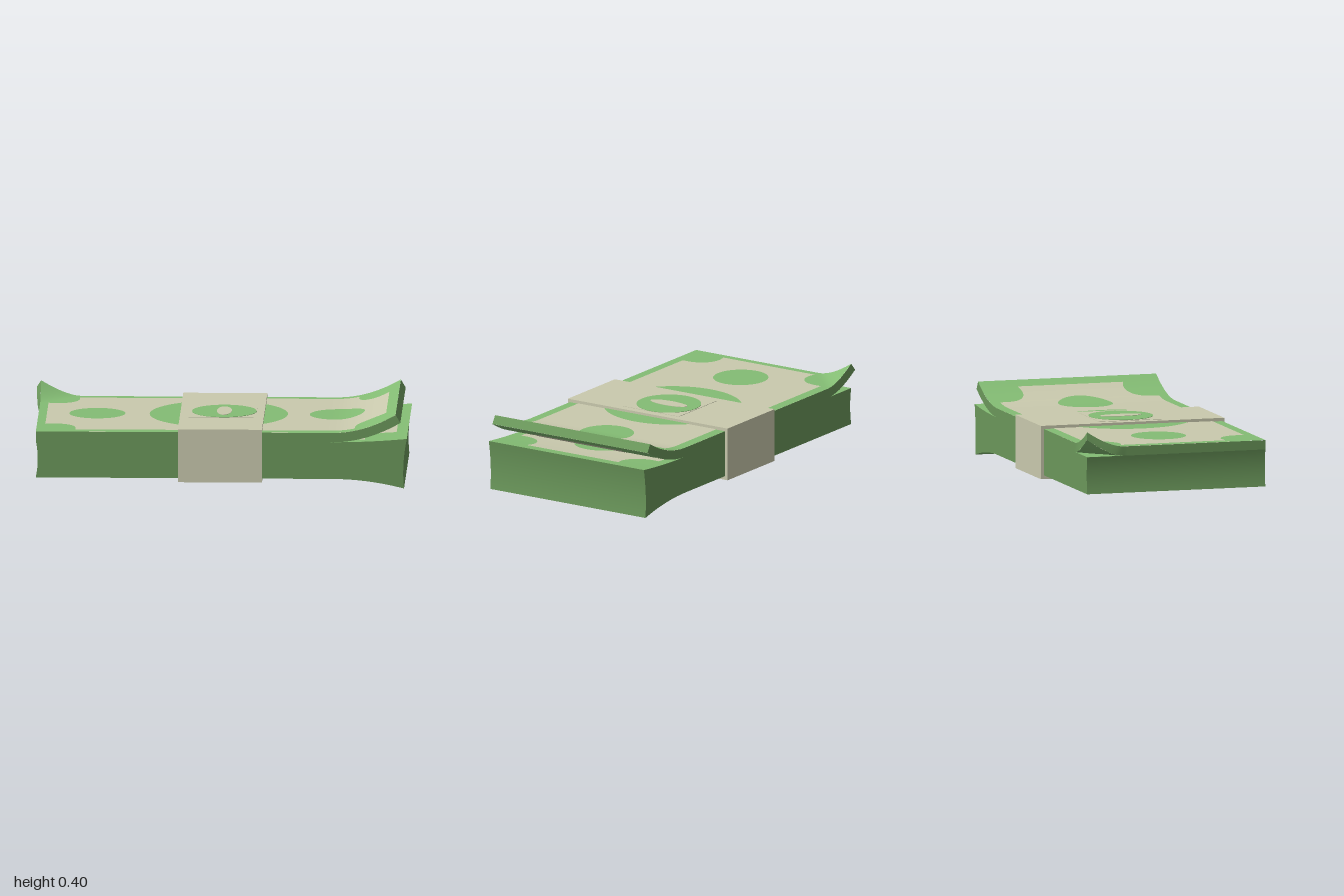
import * as THREE from 'three';
import { toCreasedNormals } from 'three/addons/utils/BufferGeometryUtils.js';

const T = 0.05; // thickness of the loose top sheaf

// evenly spaced samples from a to b
const span = (a, b, n) => Array.from({ length: n + 1 }, (_, i) => a + (b - a) * i / n);
// samples bunched towards both ends, for round ornaments
const roundSpan = (c, r, n = 36) => Array.from({ length: n + 1 }, (_, i) => c - r * Math.cos(Math.PI * i / n));
const rise = (x, len) => Math.pow(Math.max(0, x - 0.6) / len, 2);

// height of the top sheaf: curled right end and one folded-up corner
function topHeight(x, z) {
  const s = Math.max(0, (-x - 0.77) / 0.215 + (-z - 0.5) / 0.2);
  return 0.3 + 0.1 * rise(x, 0.34) + 0.085 * Math.pow(s, 1.6);
}
// point on the sheaf, moved o along its normal
function sheafPoint(x, z, o) {
  const e = 0.001;
  const n = new THREE.Vector3(
    (topHeight(x - e, z) - topHeight(x + e, z)) / (2 * e), 1,
    (topHeight(x, z - e) - topHeight(x, z + e)) / (2 * e)).normalize();
  return new THREE.Vector3(x + n.x * o, topHeight(x, z) + n.y * o, z + n.z * o * 0.4);
}
const ledgeHeight = x => 0.25 + 0.02 * rise(x, 0.4);
const baseHeight = x => 0.05 - 0.05 * rise(x, 0.385);

// the four printed surfaces; o is the height above the surface
const topSurf = (x, z, o) => sheafPoint(x, z, o);
const underSurf = (x, z, o) => sheafPoint(x, z, -T - o);
const ledgeSurf = (x, z, o) => new THREE.Vector3(x, ledgeHeight(x) + o, z);
const bottomSurf = (x, z, o) => new THREE.Vector3(x, baseHeight(x) - o, z);

// grid of points: rows[i][j], faces towards (next j) x (next i)
function gridGeometry(rows, flip) {
  const pos = [], idx = [], m = rows[0].length;
  rows.forEach(r => r.forEach(p => pos.push(p.x, p.y, p.z)));
  for (let i = 0; i < rows.length - 1; i++) {
    for (let j = 0; j < m - 1; j++) {
      const a = i * m + j, b = a + 1, c = a + m, d = c + 1;
      if (flip) idx.push(a, c, b, b, c, d);
      else idx.push(a, b, c, b, d, c);
    }
  }
  const g = new THREE.BufferGeometry();
  g.setAttribute('position', new THREE.Float32BufferAttribute(pos, 3));
  g.setIndex(idx);
  g.computeVertexNormals();
  return g;
}

// sheet lying on a surface, with a half width that depends on x
function sheet(surf, xs, half, o, flip) {
  const zs = span(-1, 1, 32);
  return gridGeometry(xs.map(x => zs.map(v => surf(x, v * half(x), o))), flip);
}

export function createModel() {
  const group = new THREE.Group();
  const material = (name, color) => {
    const m = new THREE.MeshStandardMaterial({ color });
    m.name = name;
    return m;
  };
  const green = material('printGreen', 0x84bd74);
  const edge = material('paperEdgeGreen', 0x6b985b);
  const cream = material('cream', 0xcacaae);

  const add = (name, geometry, mat, parent = group) => {
    const mesh = new THREE.Mesh(geometry, mat);
    mesh.name = name;
    parent.add(mesh);
    return mesh;
  };

  // lower stack: side profile with bowed ends, extruded across the notes
  const profile = new THREE.Shape();
  profile.moveTo(-0.985, 0.25);
  profile.quadraticCurveTo(-0.965, 0.15, -0.985, 0.05);
  for (const x of span(0.6, 0.985, 14)) profile.lineTo(x, baseHeight(x));
  profile.quadraticCurveTo(0.972, 0.13, 1.0, 0.27);
  for (const x of span(1.0, 0.6, 14).slice(1)) profile.lineTo(x, ledgeHeight(x));
  const stack = new THREE.ExtrudeGeometry(profile, { depth: 1, bevelEnabled: false, curveSegments: 12 });
  stack.translate(0, 0, -0.5);
  add('lowerStack', toCreasedNormals(stack, 0.5), edge);

  // edges of the loose top sheaf
  const X0 = -0.985, X1 = 0.94;
  const xs = span(X0, X1, 70), zs = span(0.5, -0.5, 40);
  const walls = {
    sheafFrontEdge: xs.map(x => [x, 0.5]),
    sheafRightEdge: zs.map(z => [X1, z]),
    sheafBackEdge: [...xs].reverse().map(x => [x, -0.5]),
    sheafLeftEdge: [...zs].reverse().map(z => [X0, z]),
  };
  for (const [name, path] of Object.entries(walls)) {
    const rows = path.map(([x, z]) => [sheafPoint(x, z, 0), sheafPoint(x, z, -T)]);
    add(name, gridGeometry(rows), edge);
  }

  // printed note face: green ground, cream field with bitten corners, round ornaments
  function printedFace(name, surf, ground, field, circles, flip) {
    const face = new THREE.Group();
    face.name = name;
    group.add(face);
    add('greenGround', sheet(surf, span(ground[0], ground[1], 70), () => 0.5, 0.0005, flip), green, face);

    const [f0, f1] = field, bite = 0.165;
    const half = x => {
      const e = Math.min(x - f0, f1 - x);
      return e > bite ? 0.445 : 0.4 - Math.sqrt(Math.max(0, 0.115 ** 2 - (e - 0.05) ** 2));
    };
    const fx = [
      ...span(f0, f0 + bite - 0.0002, 20), ...span(f0 + bite + 0.0002, f1 - bite - 0.0002, 50),
      ...span(f1 - bite + 0.0002, f1, 20)];
    add('creamField', sheet(surf, fx, half, 0.0025, flip), cream, face);

    for (const [c, rx, rz] of circles) {
      const round = x => Math.max(0.003, rz * Math.sqrt(Math.max(0, 1 - ((x - c) / rx) ** 2)));
      add('roundOrnament', sheet(surf, roundSpan(c, rx), round, 0.0045, flip), green, face);
    }
  }
  const centre = [-0.02, 0.37, 0.37];
  printedFace('topFace', topSurf, [X0, X1], [-0.94, 0.885],
    [[-0.67, 0.15, 0.147], centre, [0.615, 0.148, 0.147]], false);
  printedFace('sheafUnderside', underSurf, [X0, X1], [-0.94, 0.885], [[0.615, 0.148, 0.147]], true);
  printedFace('ledgeFace', ledgeSurf, [-0.984, 1.0], [-0.94, 0.94], [[0.66, 0.148, 0.147]], false);
  printedFace('bottomFace', bottomSurf, [-0.985, 0.985], [-0.93, 0.93],
    [[-0.66, 0.15, 0.147], [0, 0.37, 0.37], [0.65, 0.148, 0.147]], true);

  // paper band around the middle, with a badge above and below
  const band = new THREE.Group();
  band.name = 'paperBand';
  group.add(band);
  add('bandWrap', new THREE.BoxGeometry(0.45, 0.288, 1.03), cream, band).position.set(0, 0.174, -0.003);
  for (const [side, y] of [[1, 0.318], [-1, 0.03]]) {
    add('badgePlate', new THREE.BoxGeometry(0.36, 0.004, 0.36), cream, band).position.set(0.003, y, 0.005);
    add('badgeDisc', new THREE.CylinderGeometry(0.173, 0.173, 0.004, 48), green, band)
      .position.set(0.01, y + side * 0.002, 0.005);
    // plain oval mark in the middle of the badge
    const oval = add('badgeOval', new THREE.CylinderGeometry(1, 1, 0.004, 40), cream, band);
    oval.scale.set(0.04, 1, 0.115);
    oval.position.set(0.01, y + side * 0.004, 0.005);
  }
  return group;
}
